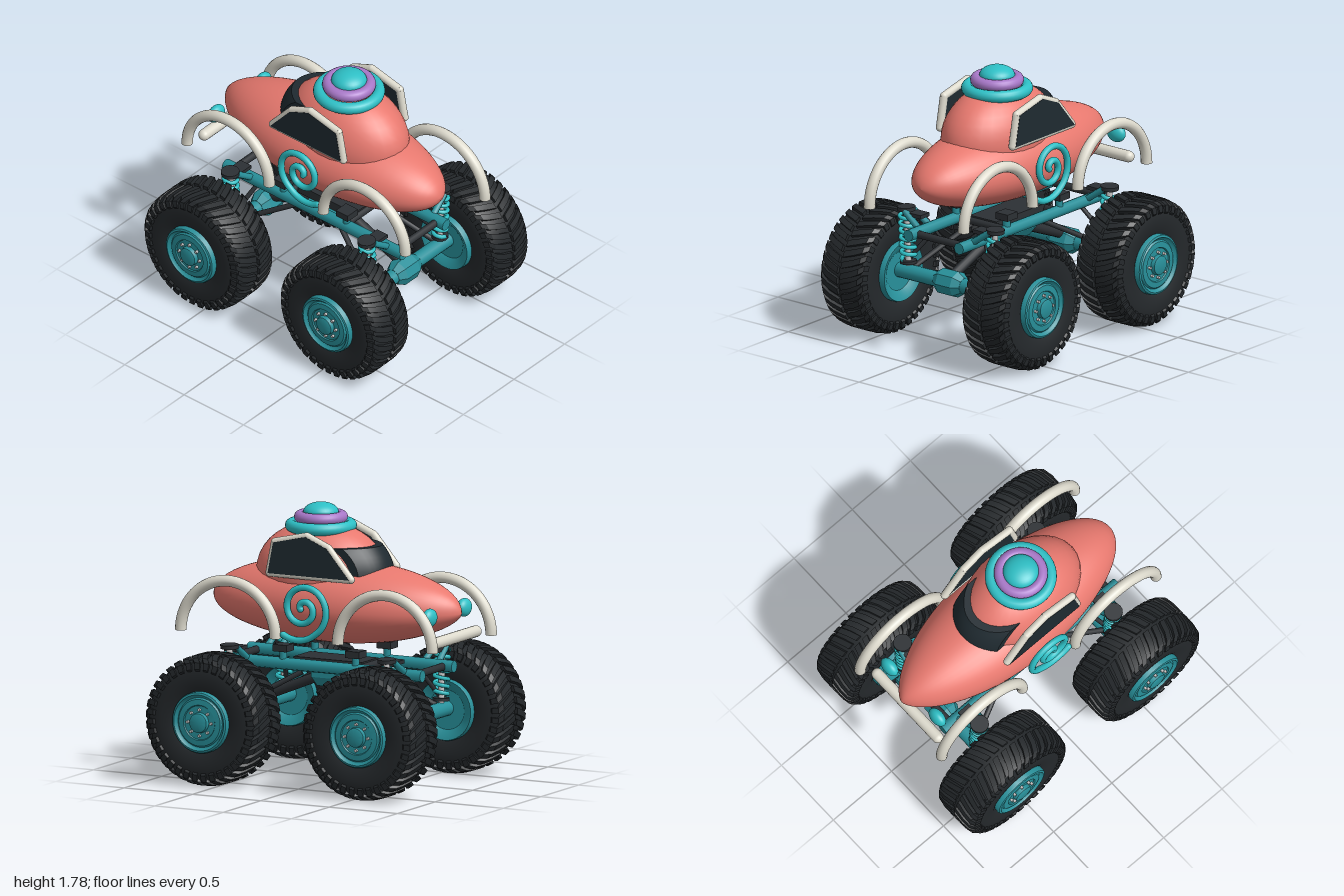
import * as THREE from 'three';
import { mergeGeometries, toCreasedNormals } from 'three/addons/utils/BufferGeometryUtils.js';

const mat = (color) => new THREE.MeshStandardMaterial({ color });
const V = (x, y, z) => new THREE.Vector3(x, y, z);

export function createModel() {
  const coral = mat(0xe8796f), aqua = mat(0x2ec0c6), teal = mat(0x28909a), purple = mat(0xa878c8);
  const cream = mat(0xdedbce), rubber = mat(0x24282b), black = mat(0x2c3034), glass = mat(0x1f2a30), steel = mat(0xcccccc);
  const model = new THREE.Group();

  const add = (name, geo, material, x = 0, y = 0, z = 0, parent = model) => {
    const m = new THREE.Mesh(geo, material);
    m.name = name;
    m.position.set(x, y, z);
    parent.add(m);
    return m;
  };
  // Cylinder between two points
  const rod = (name, a, b, r, material, sides = 12) => {
    const m = add(name, new THREE.CylinderGeometry(r, r, a.distanceTo(b), sides), material);
    m.position.copy(a).add(b).multiplyScalar(0.5);
    m.quaternion.setFromUnitVectors(V(0, 1, 0), b.clone().sub(a).normalize());
    return m;
  };
  // Move every vertex by a rule
  const deform = (geo, rule) => {
    const p = geo.attributes.position, v = V(0, 0, 0);
    for (let i = 0; i < p.count; i++) {
      rule(v.fromBufferAttribute(p, i));
      p.setXYZ(i, v.x, v.y, v.z);
    }
    geo.computeVertexNormals();
    return geo;
  };
  const ellipsoid = (rx, ry, rz) => new THREE.SphereGeometry(1, 32, 20).scale(rx, ry, rz);

  // Body: egg-shaped hull with a more pointed nose at -x
  add('hull', deform(new THREE.SphereGeometry(1, 48, 32).rotateZ(Math.PI / 2), (v) => {
    const taper = v.x < 0 ? Math.pow(Math.max(1 - v.x * v.x, 0), 0.15) : 1;
    v.set(-0.02 + 0.895 * v.x, 1.14 + v.y * (v.y > 0 ? 0.29 : 0.252 * taper), v.z * 0.355 * taper);
  }), coral);
  add('cabin', ellipsoid(0.455, 0.335, 0.3), coral, 0.1, 1.33, 0);

  // Windshield: slab that follows the cabin's curve
  add('windshield', toCreasedNormals(deform(new THREE.BoxGeometry(1, 0.17, 0.42, 1, 6, 14), (v) => {
    const y = 1.445 + v.y, h = (y - 1.33) / 0.36, w = v.z / 0.325;
    const front = 0.1 - 0.5 * Math.sqrt(1 - h * h - w * w);
    v.set(v.x < 0 ? front : front + 0.08, y, v.z);
  }), 0.6), glass);

  // Stacked rings on the roof
  const ring = (R, r) => new THREE.TorusGeometry(R, r, 16, 48).rotateX(Math.PI / 2);
  add('roofRingLower', ring(0.192, 0.039), aqua, 0.11, 1.635, 0);
  add('roofRingUpper', ring(0.135, 0.038), purple, 0.11, 1.69, 0);
  add('roofCap', ellipsoid(0.115, 0.065, 0.115), aqua, 0.11, 1.72, 0);

  const windowPts = [[-0.275, 1.353], [0.32, 1.353], [0.28, 1.556], [0.045, 1.61], [-0.11, 1.545]];
  const frame = new THREE.CurvePath();
  windowPts.forEach(([x, y], i) => {
    const [x2, y2] = windowPts[(i + 1) % windowPts.length];
    frame.add(new THREE.LineCurve3(V(x, y, 0), V(x2, y2, 0)));
  });
  const pane = new THREE.ExtrudeGeometry(new THREE.Shape(windowPts.map(([x, y]) => new THREE.Vector2(x, y))),
    { depth: 0.05, bevelEnabled: false });

  // Spiral path, running clockwise inwards
  const spiralPts = Array.from({ length: 50 }, (_, i) => {
    const t = i / 49, a = -Math.PI * (0.28 + 3.75 * t), r = 0.2 - 0.18 * t + 0.03 * Math.max(0, 1 - t * 10);
    return V(0.03 + r * Math.cos(a), 1.15 + r * Math.sin(a), 0);
  });
  const spiral = new THREE.TubeGeometry(new THREE.CatmullRomCurve3(spiralPts), 140, 0.022, 10);

  for (const s of [1, -1]) {
    // Side windows
    for (const curve of frame.curves) {
      rod('windowFrame', curve.v1.clone().setZ(0.302 * s), curve.v2.clone().setZ(0.302 * s), 0.026, cream);
      add('windowFrameCorner', new THREE.SphereGeometry(0.026, 12, 8), cream, curve.v1.x, curve.v1.y, 0.302 * s);
    }
    add('sideWindow', pane, glass, 0, 0, 0.305 * s - 0.025);

    // Spiral ornaments with rounded ends
    add('spiral', spiral, aqua, 0, 0, 0.383 * s);
    for (const p of [spiralPts[0], spiralPts[49]])
      add('spiralEnd', new THREE.SphereGeometry(0.022, 10, 8), aqua, p.x, p.y, 0.383 * s);

    // Arched fenders
    for (const x of [-0.574, 0.574]) {
      add('fender', new THREE.TorusGeometry(0.346, 0.037, 14, 40, Math.PI), cream, x, 0.945, 0.392 * s);
      for (const e of [-0.346, 0.346])
        add('fenderEnd', new THREE.CircleGeometry(0.037, 14).rotateX(Math.PI / 2), cream, x + e, 0.945, 0.392 * s);
    }
    add('headlight', ellipsoid(0.042, 0.06, 0.07), aqua, -0.812, 1.14, 0.23 * s);
  }
  add('bumper', new THREE.CapsuleGeometry(0.038, 0.58, 8, 16).rotateX(Math.PI / 2), cream, -0.863, 0.98, 0);

  // Chassis
  const box = (name, w, h, d, material, x, y, z) => add(name, new THREE.BoxGeometry(w, h, d), material, x, y, z);
  box('centrePlate', 0.5, 0.06, 0.22, black, 0, 0.755, 0);
  add('gearbox', toCreasedNormals(deform(new THREE.BoxGeometry(0.24, 0.12, 0.26, 1, 2, 1), (v) => {
    if (v.y < -0.01) { v.x *= 0.82; v.z *= 0.7; }
  }), 0.3), teal, -0.01, 0.665, 0);
  for (const x of [-0.68, -0.25, 0.25, 0.68]) rod('crossbar', V(x, 0.75, -0.2), V(x, 0.75, 0.2), 0.025, black);
  for (const s of [1, -1]) {
    rod('chassisRail', V(-0.75, 0.752, 0.21 * s), V(0.75, 0.752, 0.21 * s), 0.04, teal, 8);
    for (const x of [-0.26, 0.27]) {
      rod('bodyMountPost', V(x, 0.76, 0.21 * s), V(x, 0.84, 0.21 * s), 0.025, teal);
      box('bodyMountPad', 0.1, 0.045, 0.1, black, x, 0.857, 0.21 * s);
    }
  }

  // Axles, drive shafts and suspension
  class Helix extends THREE.Curve {
    getPoint(t, target = V(0, 0, 0)) {
      const a = t * Math.PI * 2 * 6.5;
      return target.set(0.045 * Math.cos(a), 0.31 * (t - 0.5), 0.045 * Math.sin(a));
    }
  }
  const coil = new THREE.TubeGeometry(new Helix(), 130, 0.014, 7);
  for (const x of [-0.575, 0.575]) {
    const e = Math.sign(x);
    rod('axle', V(x, 0.435, -0.45), V(x, 0.435, 0.45), 0.05, teal, 16);
    const diff = [[0, -0.11], [0.055, -0.11], [0.088, -0.06], [0.088, 0.06], [0.055, 0.11], [0, 0.11]];
    add('differential', toCreasedNormals(new THREE.LatheGeometry(diff.map(([r, y]) => new THREE.Vector2(r, y)), 8)
      .rotateX(Math.PI / 2), 0.3), teal, x, 0.435, 0);
    rod('driveShaft', V(0.08 * e, 0.67, 0), V(x, 0.47, 0), 0.033, black);
    for (const s of [1, -1]) {
      const spring = add('spring', coil, aqua, x, 0.675, 0.36 * s);
      spring.rotation.x = 0.06 * s;
      rod('shockAbsorber', V(x, 0.48, 0.352 * s), V(x, 0.87, 0.37 * s), 0.02, steel);
      rod('springSeat', V(x, 0.495, 0.352 * s), V(x, 0.515, 0.353 * s), 0.055, black, 16);
      rod('springCap', V(x, 0.85, 0.37 * s), V(x, 0.875, 0.371 * s), 0.06, black, 16);
      for (const d of [-0.055, 0.055])
        rod('shockTowerArm', V(x + d, 0.75, 0.2 * s), V(x + d * 0.7, 0.855, 0.35 * s), 0.022, teal, 8);
      box('shockTowerPlate', 0.09, 0.025, 0.15, black, x, 0.84, 0.29 * s);
      rod('towerBrace', V(x - 0.1 * e, 0.74, 0.2 * s), V(x, 0.5, 0.37 * s), 0.015, black, 8);
      rod('trailingLink', V(0.16 * e, 0.7, 0.16 * s), V(x, 0.46, 0.33 * s), 0.018, black, 8);
    }
  }

  // Tyre carcass and tread, spun about z
  const spin = (pts, sides) => toCreasedNormals(
    new THREE.LatheGeometry(pts.map(([r, z]) => new THREE.Vector2(r, z)), sides).rotateX(Math.PI / 2), 0.6);
  const half = [[0.19, 0.15], [0.22, 0.165], [0.29, 0.172], [0.35, 0.168], [0.385, 0.152], [0.4, 0.1], [0.403, 0.02]];
  const tyre = spin([...half.map(([r, z]) => [r, -z]), ...half.slice().reverse()], 48);

  // Slanted lugs that run from the centre groove over the shoulder
  const lugPath = [[0.012, 0.425], [0.09, 0.424], [0.145, 0.414], [0.172, 0.388], [0.18, 0.345]];
  const lugs = [];
  for (let i = 0; i < 36; i++) for (const s of [1, -1]) {
    const a0 = (i + (s > 0 ? 0 : 0.5)) / 36 * Math.PI * 2;
    lugs.push(deform(new THREE.BoxGeometry(1, 1, 1, 4, 1, 1), (v) => {
      const k = Math.round((0.5 + s * v.x) * 4), [z, r] = lugPath[k];
      const a = a0 + 0.2 * Math.min(k / 3, 1) + v.z * 0.1;
      const inner = v.y < 0;
      const R = inner ? r - 0.03 : r, Z = inner && k > 2 ? z - 0.025 : z;
      v.set(R * Math.cos(a), R * Math.sin(a), s * Z);
    }));
  }
  const tread = toCreasedNormals(mergeGeometries(lugs), 0.5);

  // Rim: dished disc with lip, raised ring and hub
  const rim = spin([[0, -0.16], [0.13, -0.16], [0.165, -0.185], [0.195, -0.195], [0.2, -0.18], [0.2, 0.18],
    [0.195, 0.19], [0.182, 0.195], [0.172, 0.18], [0.162, 0.175], [0.152, 0.185], [0.115, 0.188], [0.11, 0.18],
    [0.066, 0.18], [0.062, 0.207], [0.05, 0.212], [0, 0.212]], 40);
  const bolt = new THREE.CylinderGeometry(0.01, 0.01, 0.03, 6).rotateX(Math.PI / 2);

  for (const x of [-0.574, 0.574]) for (const s of [1, -1]) {
    const wheel = new THREE.Group();
    wheel.name = 'wheel';
    wheel.position.set(x, 0.425, 0.588 * s);
    model.add(wheel);
    add('tyre', tyre, rubber, 0, 0, 0, wheel);
    add('tread', tread, rubber, 0, 0, 0, wheel);
    add('rim', rim, teal, 0, 0, 0, wheel).rotation.y = s > 0 ? 0 : Math.PI;
    for (let i = 0; i < 8; i++) {
      const a = i * Math.PI / 4;
      add('wheelBolt', bolt, steel, 0.085 * Math.cos(a), 0.085 * Math.sin(a), 0.182 * s, wheel);
    }
  }
  return model;
}
